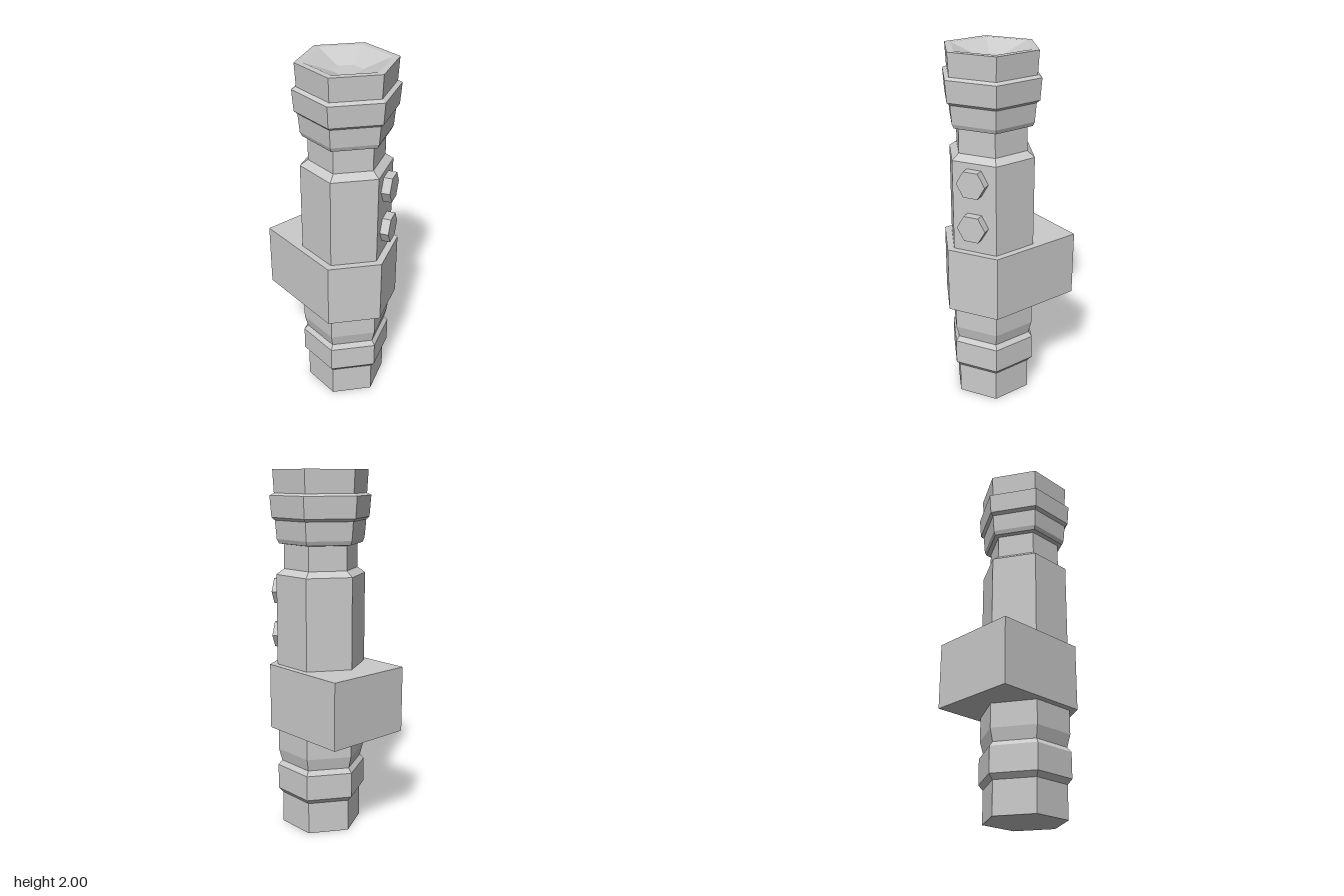
import * as THREE from 'three';

const AXIS_Z = 0.048; // the hexagonal body sits slightly forward of centre

export function createModel() {
  const model = new THREE.Group();
  const material = new THREE.MeshStandardMaterial({ color: 0xcccccc, flatShading: true });

  const add = (name, geometry, parent = model) => {
    const mesh = new THREE.Mesh(geometry, material);
    mesh.name = name;
    parent.add(mesh);
    return mesh;
  };

  // Six-sided turned part with a point towards the front
  const hexLathe = (name, profile) => {
    const points = profile.map(([r, y]) => new THREE.Vector2(r, y));
    const mesh = add(name, new THREE.LatheGeometry(points, 6));
    mesh.position.z = AXIS_Z;
    return mesh;
  };

  // Pommel, grip, neck and stepped head with a dished end
  hexLathe('hiltBody', [
    [0, 0], [0.227, 0], [0.227, 0.18],
    [0.252, 0.208], [0.252, 0.35],
    [0.23, 0.376], [0.248, 0.445], [0.248, 1.445],
    [0.205, 1.476], [0.205, 1.608],
    [0.232, 1.612], [0.243, 1.635], [0.252, 1.735],
    [0.27, 1.75], [0.279, 1.865],
    [0.255, 1.877], [0.262, 2],
    [0.224, 2], [0.077, 1.945], [0, 1.945],
  ]);

  // Block around the grip: pointed at the front, square at the back
  const plan = new THREE.Shape([
    [-0.252, 0.34], [-0.252, -0.193], [0, -0.338], [0.252, -0.193], [0.252, 0.34],
  ].map(([x, y]) => new THREE.Vector2(x, y)));
  const block = add('gripBlock', new THREE.ExtrudeGeometry(plan, { depth: 0.367, bevelEnabled: false }));
  block.rotation.x = -Math.PI / 2;
  block.position.y = 0.578;

  // Two hexagonal buttons on the front left face
  const buttons = new THREE.Group();
  buttons.name = 'buttons';
  buttons.position.z = AXIS_Z;
  buttons.rotation.y = Math.PI / 6;
  model.add(buttons);
  const buttonGeometry = new THREE.CylinderGeometry(0.081, 0.081, 0.06, 6);
  buttonGeometry.rotateY(Math.PI / 6).rotateX(Math.PI / 2);
  for (const y of [1.095, 1.342]) {
    add('button', buttonGeometry, buttons).position.set(0, y, 0.232);
  }

  return model;
}
